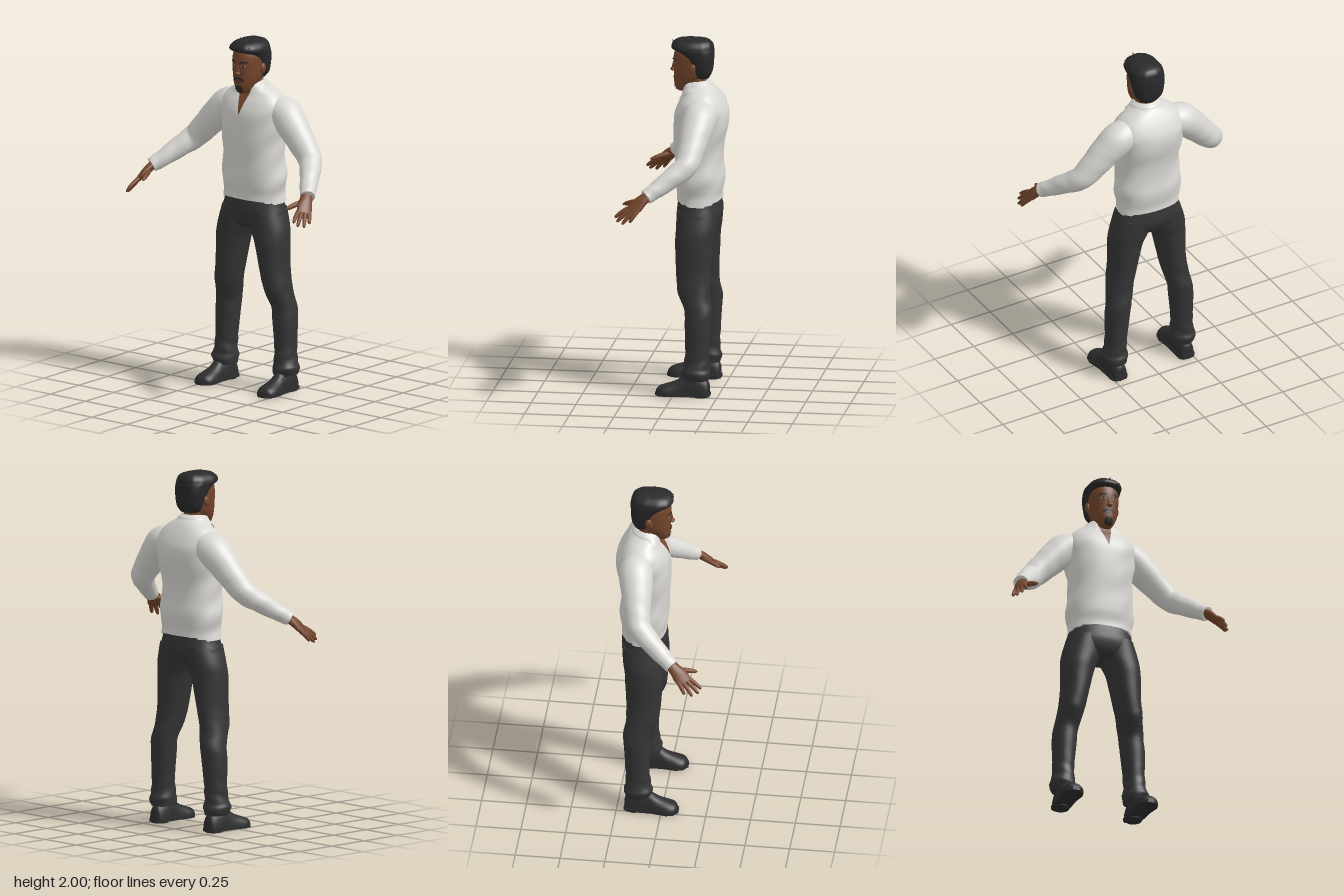
import * as THREE from 'three';

const mat = (name, color, side = THREE.FrontSide) =>
  Object.assign(new THREE.MeshStandardMaterial({ color, side }), { name });

// Smooth in-between rows through a short list of cross-section rows
function resample(rows, k) {
  const out = [], at = i => rows[Math.max(0, Math.min(rows.length - 1, i))];
  for (let i = 0; i < rows.length - 1; i++) for (let s = 0; s < k; s++) {
    const t = s / k, a = at(i - 1), b = at(i), c = at(i + 1), d = at(i + 2);
    out.push(b.map((_, j) => b[j] + 0.5 * t * (c[j] - a[j] + t * (2 * a[j] - 5 * b[j] + 4 * c[j] - d[j]
      + t * (3 * (b[j] - c[j]) + d[j] - a[j])))));
  }
  out.push(rows[rows.length - 1]);
  return out;
}

function build(pos, index) {
  const g = new THREE.BufferGeometry();
  g.setAttribute('position', new THREE.Float32BufferAttribute(pos, 3));
  g.setIndex(index);
  g.computeVertexNormals();
  return g;
}

// Skin over closed rings, with flat end caps
function loft(rings) {
  const n = rings[0].length, pos = rings.flat(2), index = [];
  for (let i = 0; i < rings.length - 1; i++) for (let j = 0; j < n; j++) {
    const a = i * n + j, b = i * n + (j + 1) % n;
    index.push(a, a + n, b, b, a + n, b + n);
  }
  [rings[0], rings[rings.length - 1]].forEach((ring, end) => {
    const o = pos.length / 3;
    pos.push(...ring.flat(), ...[0, 1, 2].map(c => ring.reduce((s, p) => s + p[c], 0) / n));
    for (let j = 0; j < n; j++) {
      const a = o + j, b = o + (j + 1) % n;
      index.push(o + n, ...(end ? [b, a] : [a, b]));
    }
  });
  return build(pos, index);
}

const spow = (v, n) => Math.sign(v) * Math.abs(v) ** (2 / n);
// Upright body: rows are [y, cx, cz, rx, rz]
function upright(rows, n = 2.2, seg = 40, ripple = () => 0) {
  return loft(rows.map(([y, cx, cz, rx, rz]) => Array.from({ length: seg }, (_, j) => {
    const a = j / seg * Math.PI * 2, k = 1 + ripple(y, a);
    return [cx + rx * k * spow(Math.cos(a), n), y, cz + rz * k * spow(Math.sin(a), n)];
  })));
}

// Limb along a path: rows are [x, y, z, width radius, thickness radius]
function limb(rows, ref, k = 4, seg = 20, ripple = () => 0) {
  const r = resample(rows, k), v = i => new THREE.Vector3(...r[Math.max(0, Math.min(r.length - 1, i))]);
  return loft(r.map((row, i) => {
    const T = v(i + 1).sub(v(i - 1)).normalize();
    const N = new THREE.Vector3(...ref).addScaledVector(T, -T.dot(new THREE.Vector3(...ref))).normalize();
    const B = N.clone().cross(T);
    return Array.from({ length: seg }, (_, j) => {
      const a = j / seg * Math.PI * 2, m = 1 + ripple(i / r.length, a);
      return new THREE.Vector3(row[0], row[1], row[2])
        .addScaledVector(N, m * row[3] * Math.cos(a)).addScaledVector(B, m * row[4] * Math.sin(a)).toArray();
    });
  }));
}

// Open sheet from f(u, v)
function sheet(f, nu, nv) {
  const pos = [], index = [];
  for (let i = 0; i <= nv; i++) for (let j = 0; j <= nu; j++) pos.push(...f(j / nu, i / nv));
  for (let i = 0; i < nv; i++) for (let j = 0; j < nu; j++) {
    const a = i * (nu + 1) + j, b = a + nu + 1;
    index.push(a, a + 1, b + 1, a, b + 1, b);
  }
  return build(pos, index);
}

// Depth of a body's front surface at x, y
function frontZ(rows, n, x, y) {
  let i = 0;
  while (i < rows.length - 2 && rows[i + 1][0] < y) i++;
  const t = (y - rows[i][0]) / (rows[i + 1][0] - rows[i][0]);
  const [, , cz, rx, rz] = rows[i].map((a, j) => a + (rows[i + 1][j] - a) * t);
  return cz + rz * Math.max(0, 1 - Math.min(1, Math.abs(x / rx)) ** n) ** (1 / n);
}
// Thin patch lying on the front of a body; span(v) gives [x0, x1, y-shift]
const patch = (rows, n, y0, y1, span, off = 0.004) => sheet((u, v) => {
  const [x0, x1, dy = 0] = span(v, u), x = x0 + (x1 - x0) * u, y = y0 + (y1 - y0) * v + dy;
  return [x, y, frontZ(rows, n, x, y) + off];
}, 8, 10);

function ball(x, y, z, sx, sy, sz, rx = 0) {
  return new THREE.SphereGeometry(1, 16, 12).scale(sx, sy, sz).rotateX(rx).translate(x, y, z);
}

function flip(geo) {
  const g = geo.clone().scale(-1, 1, 1);
  if (!g.index) g.setIndex([...Array(g.attributes.position.count).keys()]);
  const a = g.index.array;
  for (let i = 0; i < a.length; i += 3) [a[i], a[i + 1]] = [a[i + 1], a[i]];
  return g;
}

export function createModel() {
  const model = new THREE.Group();
  model.name = 'standingMan';
  const skin = mat('skin', 0x75462c), shirt = mat('shirt', 0xd9d8d4, THREE.DoubleSide);
  const trousers = mat('trousers', 0x353536), shoe = mat('shoeLeather', 0x2d2d2f);
  const hair = mat('hair', 0x29292b), lip = mat('lips', 0x5e3126), eye = mat('eyeWhite', 0xa39a92);
  const add = (name, geo, m) => {
    const mesh = new THREE.Mesh(geo, m);
    mesh.name = name;
    model.add(mesh);
  };
  const pair = (name, geo, m) => { add(name + 'Left', geo, m); add(name + 'Right', flip(geo), m); };

  // Shirt body with soft folds and a stepped hem
  const torso = resample([[1.08, 0, -.12, .183, .125], [1.12, 0, -.12, .181, .124], [1.17, 0, -.12, .189, .133],
    [1.22, 0, -.121, .192, .136], [1.3, 0, -.116, .182, .132], [1.4, 0, -.115, .182, .138], [1.5, 0, -.126, .195, .149],
    [1.58, 0, -.13, .203, .146], [1.64, 0, -.13, .196, .122], [1.685, 0, -.13, .155, .095],
    [1.72, 0, -.12, .1, .078], [1.745, 0, -.105, .066, .062]], 4);
  const body = upright(torso, 2.4, 64, (y, a) => .018 * Math.sin(38 * y + 4 * a) * Math.abs(Math.cos(a)) * (y < 1.6 ? 1 : .3));
  const bp = body.attributes.position;
  for (let i = 0; i < bp.count; i++) if (bp.getY(i) < 1.081) {
    const z = Math.abs(bp.getZ(i) + .12) / .125;
    bp.setY(i, 1.065 + .01 * Math.round(3 * z * z));
  }
  add('shirtBody', body, shirt);
  add('openNeckline', patch(torso, 2.4, 1.57, 1.745, v => [-.05 * v, .05 * v], .005), skin);

  // Folded collar, open at the front with two points
  add('collar', sheet((u, v) => {
    const t = u * 2 - 1, p = t * Math.PI * .82, e = Math.abs(t) ** 4;
    const r = .063 + .037 * v + (v > .2 && v < .5 ? .008 : 0);
    const x = r * (1 + .35 * e * v) * Math.sin(p), y = 1.758 - .025 * e - v * (.035 + .05 * e);
    let z = -.102 - r * Math.cos(p);
    if (Math.abs(t) > .6) z = Math.max(z, frontZ(torso, 2.4, x, y) + .01);
    return [x, y, z];
  }, 40, 5), shirt);

  // Sleeves
  pair('sleeve', limb([[.13, 1.6, -.14, .08, .085], [.2, 1.575, -.145, .092, .095], [.27, 1.51, -.132, .086, .088],
    [.34, 1.435, -.12, .077, .076], [.41, 1.36, -.1, .068, .066], [.46, 1.31, -.04, .059, .058],
    [.52, 1.245, .05, .047, .047], [.555, 1.212, .1, .041, .041]], [1, 1, 0], 5, 28,
  (t, a) => .03 * Math.sin(45 * t + 2 * a) * t), shirt);

  // Hands: palm, four fingers, thumb
  const across = [.45, -.1, -.88];
  pair('palm', limb([[.54, 1.228, .078, .028, .024], [.563, 1.19, .125, .038, .023], [.578, 1.16, .155, .045, .019],
    [.592, 1.137, .18, .038, .012]], across), skin);
  [[.59, 1.1, .268], [.61, 1.08, .255], [.628, 1.071, .222], [.634, 1.084, .18]].forEach((tip, i) => {
    const s = (i - 1.5) * .022, base = [.585 + .45 * s, 1.146 - .1 * s, .17 - .88 * s];
    const on = (t, r) => [...base.map((b, j) => b + (tip[j] - b) * t + (j === 1 ? .012 * t * (1 - t) : 0)), r, r];
    pair(['index', 'middle', 'ring', 'little'][i] + 'Finger',
      limb([on(0, .013), on(.5, .012), on(.9, .009), on(1, .003)], across, 3, 10), skin);
  });
  pair('thumb', limb([[.556, 1.19, .12, .018, .016], [.532, 1.178, .17, .015, .014], [.515, 1.164, .215, .012, .011],
    [.508, 1.157, .235, .004, .004]], across, 3, 12), skin);

  // Trousers: hips and two legs with gathered cuffs
  add('hips', upright(resample([[.915, 0, -.115, .17, .07], [.94, 0, -.115, .2, .1], [1, 0, -.12, .2, .124],
    [1.05, 0, -.12, .185, .122], [1.1, 0, -.12, .172, .115]], 4), 2.3), trousers);
  pair('trouserLeg', upright(resample([[1.03, .1, -.12, .09, .115], [.93, .115, -.115, .107, .112], [.86, .134, -.108, .096, .107],
    [.8, .143, -.108, .088, .104], [.7, .155, -.107, .077, .098], [.6, .172, -.11, .072, .092], [.55, .18, -.12, .07, .086],
    [.48, .195, -.14, .068, .077], [.4, .203, -.138, .068, .073], [.25, .21, -.135, .06, .066], [.17, .214, -.13, .063, .072],
    [.135, .217, -.13, .074, .079], [.095, .212, -.13, .061, .072]].reverse(), 5), 2.1, 32,
  (y, a) => y < .3 ? .03 * Math.sin(85 * y + 2 * a) : y > .45 && y < .65 ? .012 * Math.sin(50 * y + 3 * a) : 0), trousers);

  // Shoes: rows are [z, half width, top height]
  const upper = resample([[-.205, .02, .07], [-.19, .042, .1], [-.13, .048, .14], [-.07, .046, .125], [-.02, .052, .09],
    [.04, .058, .068], [.075, .046, .055], [.092, .015, .035]], 4);
  pair('shoeUpper', loft(upper.map(([z, w, top]) => Array.from({ length: 24 }, (_, j) => {
    const a = j / 24 * Math.PI * 2, s = -Math.sin(a);
    return [.217 + .03 * (z + .1) + w * spow(Math.cos(a), 2.3), s > 0 ? .02 + (top - .02) * s : .02 + .01 * s, z];
  }))), shoe);
  const outline = new THREE.Shape([[-.208, .03], [-.19, .048], [-.12, .05], [-.05, .05], [.03, .062], [.07, .052], [.096, .02]]
    .flatMap(([z, w], i, all) => [new THREE.Vector2(.217 + .03 * (z + .1) + w, -z)]
      .concat(i < all.length - 1 ? [] : [...all].reverse().map(([q, h]) => new THREE.Vector2(.217 + .03 * (q + .1) - h, -q)))));
  pair('shoeSole', new THREE.ExtrudeGeometry(outline, { depth: .016, bevelEnabled: false }).rotateX(-Math.PI / 2).translate(0, .006, 0), shoe);
  pair('shoeHeel', new THREE.CylinderGeometry(.049, .047, .02, 20).scale(1, 1, 1.05).translate(.216, .01, -.155), shoe);

  // Neck and head
  add('neck', upright(resample([[1.66, 0, -.1, .06, .062], [1.72, 0, -.098, .056, .058], [1.8, 0, -.085, .058, .065]], 3)), skin);
  const head = resample([[1.692, 0, -.022, .018, .022], [1.705, 0, -.025, .036, .04], [1.74, 0, -.04, .057, .064],
    [1.78, 0, -.06, .074, .085], [1.83, 0, -.07, .081, .097], [1.88, 0, -.075, .083, .103],
    [1.92, 0, -.08, .08, .1], [1.96, 0, -.08, .06, .08], [1.98, 0, -.08, .02, .03]], 5);
  add('head', upright(head), skin);
  pair('ear', ball(.086, 1.832, -.088, .012, .03, .02, -.2), skin);
  add('noseBridge', ball(0, 1.835, .024, .01, .036, .012, -.2), skin);
  add('noseTip', ball(0, 1.812, .032, .017, .011, .015), skin);

  // Face details
  const face = (y0, y1, span, off) => patch(head, 2.2, y0, y1, span, off);
  const bow = v => Math.sqrt(Math.max(0, 1 - (2 * v - 1) ** 2));
  pair('eye', face(1.848, 1.859, v => [.034 - .014 * bow(v), .034 + .014 * bow(v)], .003), eye);
  pair('iris', face(1.847, 1.86, v => [.034 - .006 * bow(v), .034 + .006 * bow(v)], .005), hair);
  pair('eyebrow', face(1.87, 1.879, (v, u) => [.014, .056, .006 * Math.sin(u * 2.6) - .004 * u]), hair);
  pair('moustache', face(1.777, 1.791, (v, u) => [.001, .034, -.014 * u * u]), hair);
  add('mouth', face(1.758, 1.772, v => [-.023 * bow(v), .023 * bow(v)]), lip);
  add('goatee', face(1.697, 1.742, v => [-.012 - .012 * bow(v), .012 + .012 * bow(v)]), hair);

  // Short hair with swept tufts above the forehead
  add('hair', upright(resample([[1.77, 0, -.13, .055, .042], [1.8, 0, -.135, .077, .052], [1.84, 0, -.126, .088, .069],
    [1.88, 0, -.12, .094, .077], [1.915, 0, -.103, .097, .095], [1.937, 0, -.08, .098, .115], [1.96, 0, -.077, .09, .113],
    [1.982, 0, -.08, .065, .09], [1.993, 0, -.085, .025, .04]], 4), 2.5, 48, (y, a) => .012 * Math.sin(11 * a + 20 * y)), hair);
  for (let i = 0; i < 15; i++) {
    const x = (i % 5 - 2) * .03, row = Math.floor(i / 5), z = .015 - row * .04 - Math.abs(x) * .35;
    const tuft = new THREE.ConeGeometry(.022, .055, 7).rotateX(.95 - row * .15).rotateZ(-x * 6 + (i % 2 ? .3 : -.2));
    add('hairTuft', tuft.translate(x, 1.962 + row * .008 - Math.abs(x) * .2, z), hair);
  }
  return model;
}
